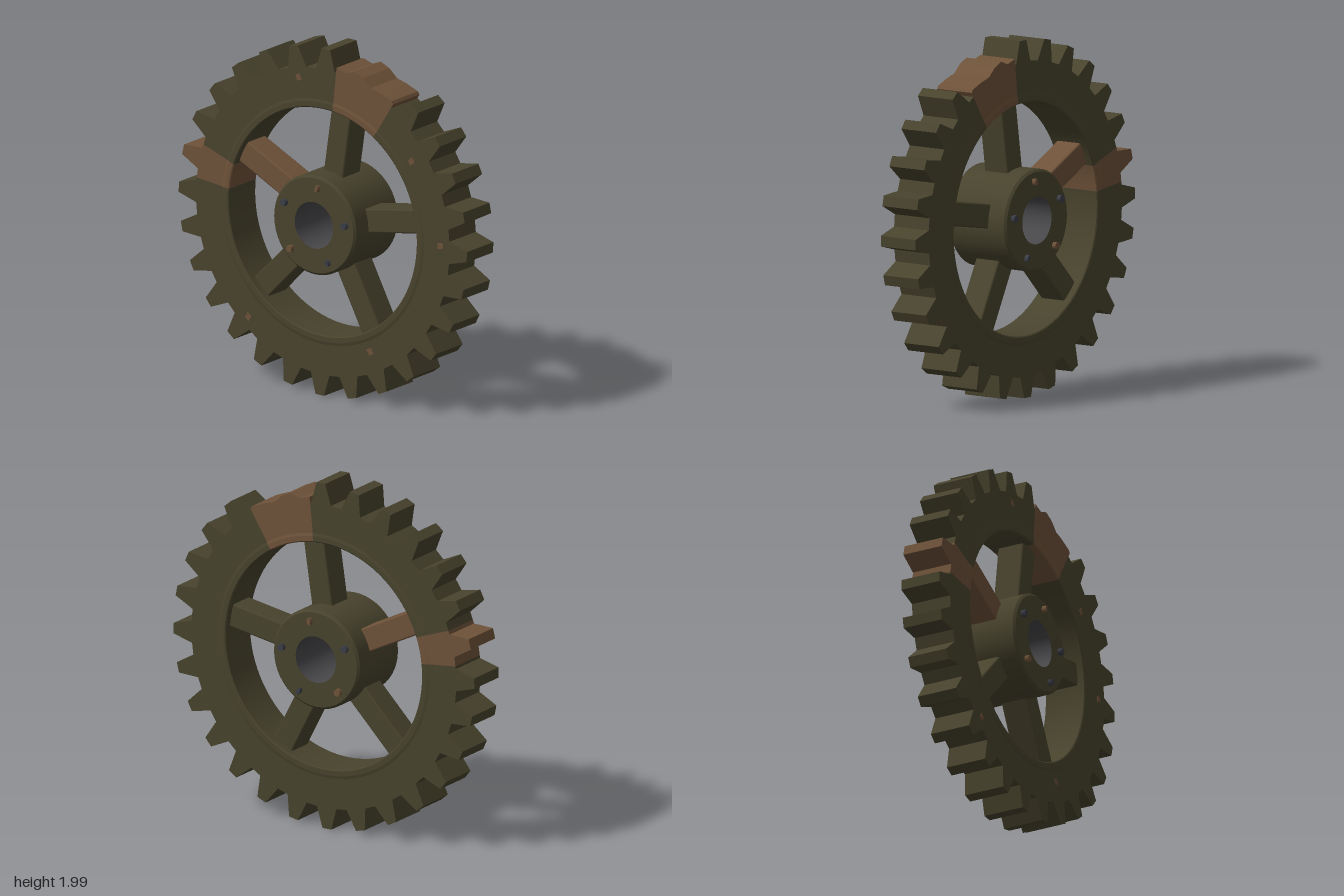
import * as THREE from 'three';
import { toCreasedNormals } from 'three/addons/utils/BufferGeometryUtils.js';
import { RoundedBoxGeometry } from 'three/addons/geometries/RoundedBoxGeometry.js';

const RAD = Math.PI / 180;
const CENTRE_Y = 1.005;
const TEETH = 28, PITCH = 360 / TEETH, FIRST = 88.8;
const TIP = 0.997, ROOT = 0.877, HALF = 0.12;

const material = (name, color) => new THREE.MeshStandardMaterial({ name, color });

// Point on a circle, angle in degrees counter-clockwise from +x
const polar = (a, r) => new THREE.Vector2(r * Math.cos(a * RAD), r * Math.sin(a * RAD));

// Outer edge of the toothed arc between two angles that lie in valleys
function toothEdge(a0, a1) {
  const edge = [[a0, ROOT]];
  for (let k = -TEETH; k <= TEETH * 2; k++) {
    const c = FIRST + k * PITCH;
    for (const [d, r] of [[-4.2, ROOT], [-1.7, TIP], [1.7, TIP], [4.2, ROOT]]) {
      if (c + d > a0 && c + d < a1) edge.push([c + d, r]);
    }
  }
  edge.push([a1, ROOT]);
  return edge;
}

// Solid slice of the gear rim below an outer edge
function rimSlice(edge) {
  const a0 = edge[0][0], a1 = edge[edge.length - 1][0];
  const pts = edge.map(([a, r]) => polar(a, r));
  const n = Math.ceil((a1 - a0) / 3);
  for (let i = 0; i <= n; i++) pts.push(polar(a1 + (a0 - a1) * i / n, 0.67));
  const geo = new THREE.ExtrudeGeometry(new THREE.Shape(pts), { depth: HALF * 2, bevelEnabled: false });
  geo.translate(0, 0, -HALF);
  return toCreasedNormals(geo, 0.2);
}

// Turned profile about the z axis, listed counter-clockwise as [radius, z]
function turned(profile, a0 = 0, a1 = 360, step = 3) {
  const geo = new THREE.LatheGeometry(
    profile.map(([r, z]) => new THREE.Vector2(r, z)),
    Math.ceil((a1 - a0) / step), (a0 + 90) * RAD, (a1 - a0) * RAD);
  geo.rotateX(Math.PI / 2);
  return toCreasedNormals(geo, 0.2);
}

export function createModel() {
  const olive = material('olive metal', 0x48432d);
  const rust = material('rusty brown', 0x6e5239);
  const steel = material('dark bore steel', 0x48474a);
  const slate = material('slate bolt', 0x3b3d46);

  const model = new THREE.Group();
  model.name = 'gearWheel';
  const wheel = new THREE.Group();
  wheel.name = 'wheel';
  wheel.position.y = CENTRE_Y;
  model.add(wheel);

  const add = (name, geo, mat, parent = wheel) => {
    const mesh = new THREE.Mesh(geo, mat);
    mesh.name = name;
    parent.add(mesh);
    return mesh;
  };

  // Toothed rim with a worn stretch and one rusty tooth
  const worn = [[57.5, 0.905], [58.6, 0.914], [64, 0.903], [68.2, 0.893], [72.4, 0.92],
    [76.4, 0.930], [79.7, 0.897], [84, 0.908]];
  const slices = [
    ['wornRim', worn, rust],
    ['upperRim', toothEdge(84, 160.3), olive],
    ['rustyToothRim', toothEdge(160.3, 173.6), rust],
    ['mainRim', toothEdge(173.6, 417.5), olive],
  ];
  const lip = [[0.65, -0.119], [0.656, -0.124], [0.685, -0.124], [0.705, -0.119],
    [0.705, 0.119], [0.685, 0.124], [0.656, 0.124], [0.65, 0.119], [0.65, -0.119]];
  for (const [name, edge, mat] of slices) {
    add(name, rimSlice(edge), mat);
    add(name + 'Lip', turned(lip, edge[0][0], edge[edge.length - 1][0]), mat);
  }

  // Hub and its bore
  add('hub', turned([[0.133, -0.2], [0.272, -0.2], [0.285, -0.187], [0.285, 0.187],
    [0.272, 0.2], [0.133, 0.2]], 0, 360, 7.5), olive);
  add('bore', turned([[0.133, 0.2], [0.133, -0.2]], 0, 360, 7.5), steel);

  // Five spokes, with a bolt on each hub face in line with every spoke
  const boltGeo = new THREE.CylinderGeometry(0.02, 0.022, 0.05, 6).rotateX(Math.PI / 2);
  for (let i = 0; i < 5; i++) {
    const a = 9.5 + i * 72;
    const arm = new THREE.Group();
    arm.name = 'arm' + (i + 1);
    arm.rotation.z = a * RAD;
    wheel.add(arm);
    const spoke = add('spoke', new RoundedBoxGeometry(0.42, 0.136, 0.16, 1, 0.01),
      i === 2 ? rust : olive, arm);
    spoke.position.x = 0.455;
    for (const side of [-1, 1]) {
      const bolt = add('bolt', boltGeo, i === 1 || i === 3 ? rust : slate, arm);
      bolt.position.set(0.222, 0, side * 0.2);
      if (i === 1 || i === 4) bolt.scale.y = 0.6;
    }
  }

  // Small rust flecks on the front face
  const fleck = new THREE.ExtrudeGeometry(new THREE.Shape([
    new THREE.Vector2(-0.022, -0.012), new THREE.Vector2(0.012, -0.02),
    new THREE.Vector2(0.024, 0.012), new THREE.Vector2(-0.014, 0.018),
  ]), { depth: 0.003, bevelEnabled: false });
  for (const [a, r] of [[101.7, 0.82], [36.8, 0.766], [0.7, 0.815], [295.5, 0.76], [231, 0.82]]) {
    const p = polar(a, r);
    const mesh = add('rustFleck', fleck, rust);
    mesh.position.set(p.x, p.y, HALF - 0.001);
    mesh.rotation.z = (a + 200) * RAD;
  }

  return model;
}
